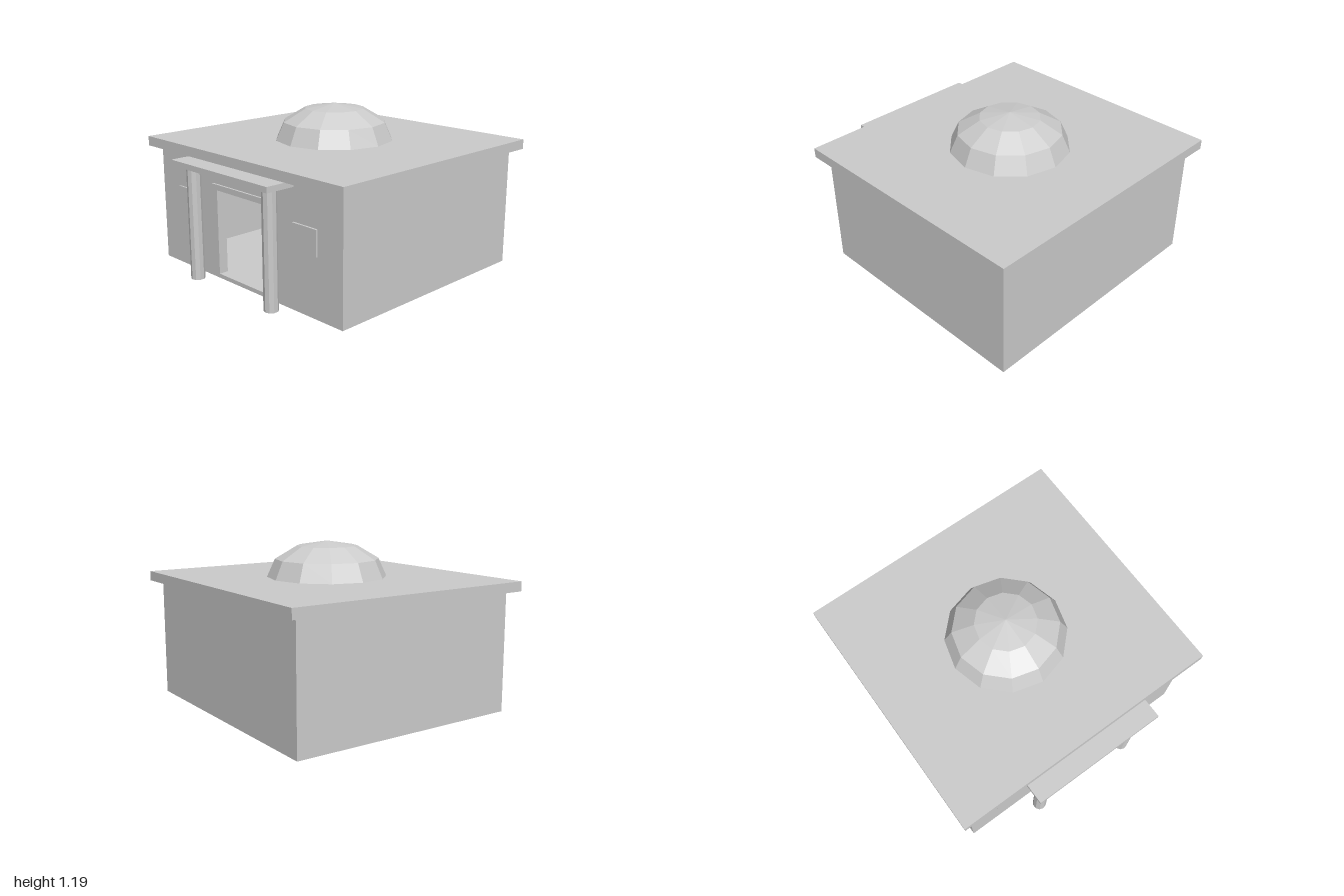
import * as THREE from 'three';

export function createModel() {
  const model = new THREE.Group();
  const stone = new THREE.MeshStandardMaterial({ color: 0xcccccc, flatShading: true });
  stone.name = 'grey stone';

  function add(name, geometry, x = 0, y = 0, z = 0) {
    const mesh = new THREE.Mesh(geometry, stone);
    mesh.name = name;
    mesh.position.set(x, y, z);
    model.add(mesh);
    return mesh;
  }
  // Box given by its lower and upper limits on each axis
  function box(name, x0, x1, y0, y1, z0, z1) {
    add(name, new THREE.BoxGeometry(x1 - x0, y1 - y0, z1 - z0),
      (x0 + x1) / 2, (y0 + y1) / 2, (z0 + z1) / 2);
  }
  const points = (list) => list.map(([x, y]) => new THREE.Vector2(x, y));

  const W = 0.93, T = 0.07, FRONT = 0.785, BACK = -0.93, H = 0.86;
  const inner = W - T, frontInner = FRONT - T, centreZ = -0.072;

  // Front wall with the doorway cut out
  const front = new THREE.Shape(points([[-W, 0], [W, 0], [W, H], [-W, H]]));
  front.holes.push(new THREE.Path(points([[-0.285, 0.03], [-0.285, 0.65], [0.285, 0.65], [0.285, 0.03]])));
  add('frontWall', new THREE.ExtrudeGeometry(front, { depth: T, bevelEnabled: false }), 0, 0, frontInner);

  // Side and back walls as one U-shaped plan, raised to full height
  const plan = new THREE.Shape(points([
    [-W, -frontInner], [-inner, -frontInner], [-inner, -BACK - T], [inner, -BACK - T],
    [inner, -frontInner], [W, -frontInner], [W, -BACK], [-W, -BACK],
  ]));
  const sides = new THREE.ExtrudeGeometry(plan, { depth: H, bevelEnabled: false });
  sides.rotateX(-Math.PI / 2);
  add('sideAndBackWalls', sides);

  // Floor inside the room
  box('floor', -inner, inner, 0, 0.03, BACK + T, frontInner);

  // Overhanging roof slab and faceted dome
  box('roof', -1, 1, H, 0.93, -1, 0.857);
  const dome = new THREE.SphereGeometry(0.43, 12, 3, 0, Math.PI * 2, 0, Math.PI / 2);
  dome.scale(1, 0.595, 1);
  add('dome', dome, 0, 0.93, centreZ);

  // Porch canopy and door lintel
  box('canopy', -0.5, 0.5, 0.82, H, FRONT, 1);
  box('lintel', -0.317, 0.317, 0.65, 0.69, FRONT, 0.8);

  // Columns and windows on both sides of the door
  for (const [side, s] of [['left', 1], ['right', -1]]) {
    add(side + 'Column', new THREE.CylinderGeometry(0.05, 0.05, 0.82, 10), s * 0.395, 0.41, 0.893);
    add(side + 'Window', new THREE.BoxGeometry(0.214, 0.178, 0.015), s * 0.607, 0.507, FRONT + 0.0075);
  }
  return model;
}
